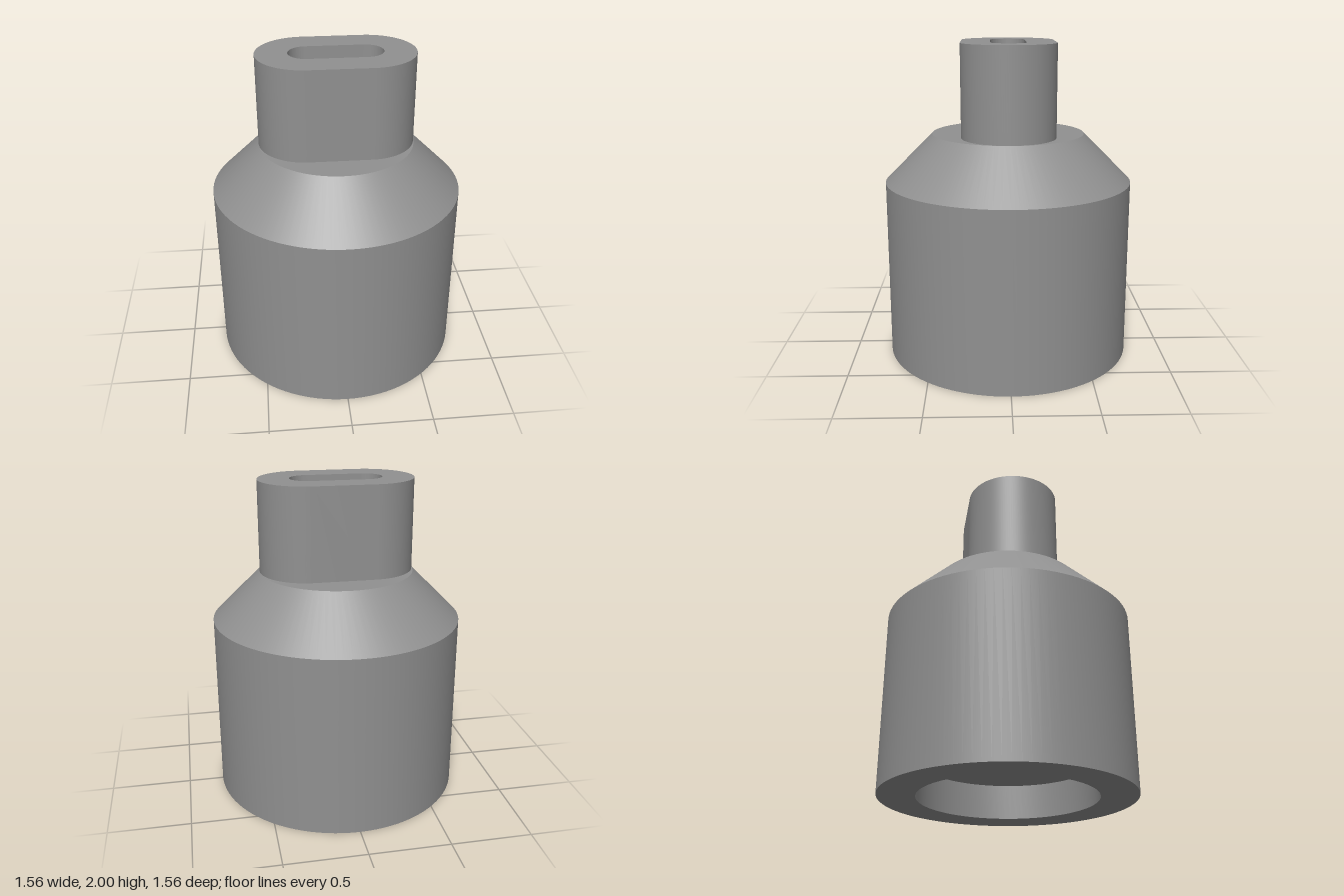
import * as THREE from 'three';
import { toCreasedNormals } from 'three/addons/utils/BufferGeometryUtils.js';

const SHOULDER = 1.43, BORE = 0.24, SEG = 96;

// Stadium outline: straight sides along x with round ends
function stadium(path, halfLength, radius) {
  const c = halfLength - radius;
  path.moveTo(-c, -radius);
  path.lineTo(c, -radius);
  path.absarc(c, 0, radius, -Math.PI / 2, Math.PI / 2, false);
  path.lineTo(-c, radius);
  path.absarc(-c, 0, radius, Math.PI / 2, Math.PI * 1.5, false);
  return path;
}

export function createModel() {
  const group = new THREE.Group();
  const grey = new THREE.MeshStandardMaterial({ color: 0x909090 });
  grey.name = 'grey';
  const add = (name, geometry) => {
    const mesh = new THREE.Mesh(geometry, grey);
    mesh.name = name;
    group.add(mesh);
    return mesh;
  };

  // Turned body: bore, bottom recess, cylinder wall and cone
  const profile = [
    [BORE, SHOULDER], [BORE, 0.22], [0.55, 0.22], [0.55, 0],
    [0.78, 0], [0.78, 1.13], [0.48, SHOULDER],
  ].map(([r, y]) => new THREE.Vector2(r, y));
  add('body', toCreasedNormals(new THREE.LatheGeometry(profile, SEG), 0.5));

  // Shoulder face, open where the slot and the round bore overlap
  const shoulder = new THREE.Shape().absarc(0, 0, 0.48, 0, Math.PI * 2, false);
  const opening = stadium(new THREE.Path(), 0.285, 0.11).getPoints(32)
    .map((p) => p.clampLength(0, BORE));
  shoulder.holes.push(new THREE.Path(opening));
  const face = new THREE.ShapeGeometry(shoulder, SEG / 2).rotateX(-Math.PI / 2);
  add('shoulder', face).position.y = SHOULDER;

  // Flat-sided neck with a slot through it
  const outline = stadium(new THREE.Shape(), 0.48, 0.292);
  outline.holes.push(stadium(new THREE.Path(), 0.285, 0.11));
  const neck = new THREE.ExtrudeGeometry(outline, {
    depth: 2 - SHOULDER, bevelEnabled: false, curveSegments: 32,
  }).rotateX(-Math.PI / 2);
  add('neck', toCreasedNormals(neck, 0.5)).position.y = SHOULDER;

  return group;
}
